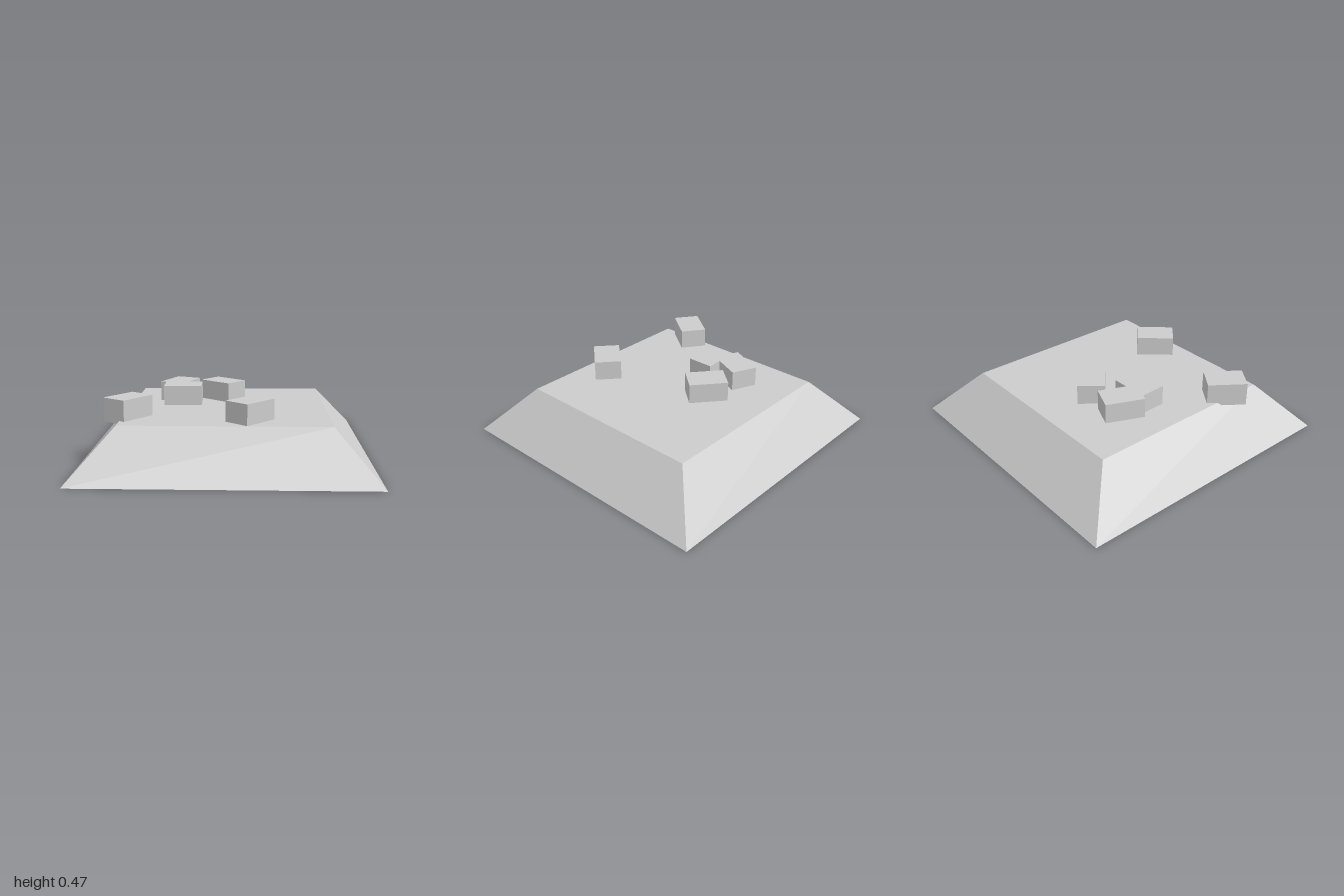
import * as THREE from 'three';

export function createModel() {
  const group = new THREE.Group();
  const stone = new THREE.MeshStandardMaterial({ color: 0xcccccc, flatShading: true });
  stone.name = 'pale grey';

  // Sloped base: a box whose top is drawn in to 70 percent
  const height = 0.33;
  const baseGeometry = new THREE.BoxGeometry(2, height, 2);
  baseGeometry.translate(0, height / 2, 0);
  const p = baseGeometry.attributes.position;
  for (let i = 0; i < p.count; i++) {
    if (p.getY(i) > height / 2) {
      p.setX(i, p.getX(i) * 0.7);
      p.setZ(i, p.getZ(i) * 0.7);
    }
  }
  baseGeometry.computeVertexNormals();
  const base = new THREE.Mesh(baseGeometry, stone);
  base.name = 'slopedBase';
  group.add(base);

  // Loose blocks set slightly into the plateau: x, z, turn
  const blockGeometry = new THREE.BoxGeometry(0.19, 0.163, 0.273);
  const blocks = [
    [-0.661, 0.426, -0.63],
    [0.163, 0.526, -0.72],
    [-0.045, -0.265, 0.876],
    [-0.368, -0.269, -0.407],
    [-0.33, -0.077, 1.59],
  ];
  blocks.forEach(([x, z, turn], i) => {
    const block = new THREE.Mesh(blockGeometry, stone);
    block.name = `block${i + 1}`;
    block.position.set(x, 0.39, z);
    block.rotation.y = turn;
    group.add(block);
  });

  return group;
}
